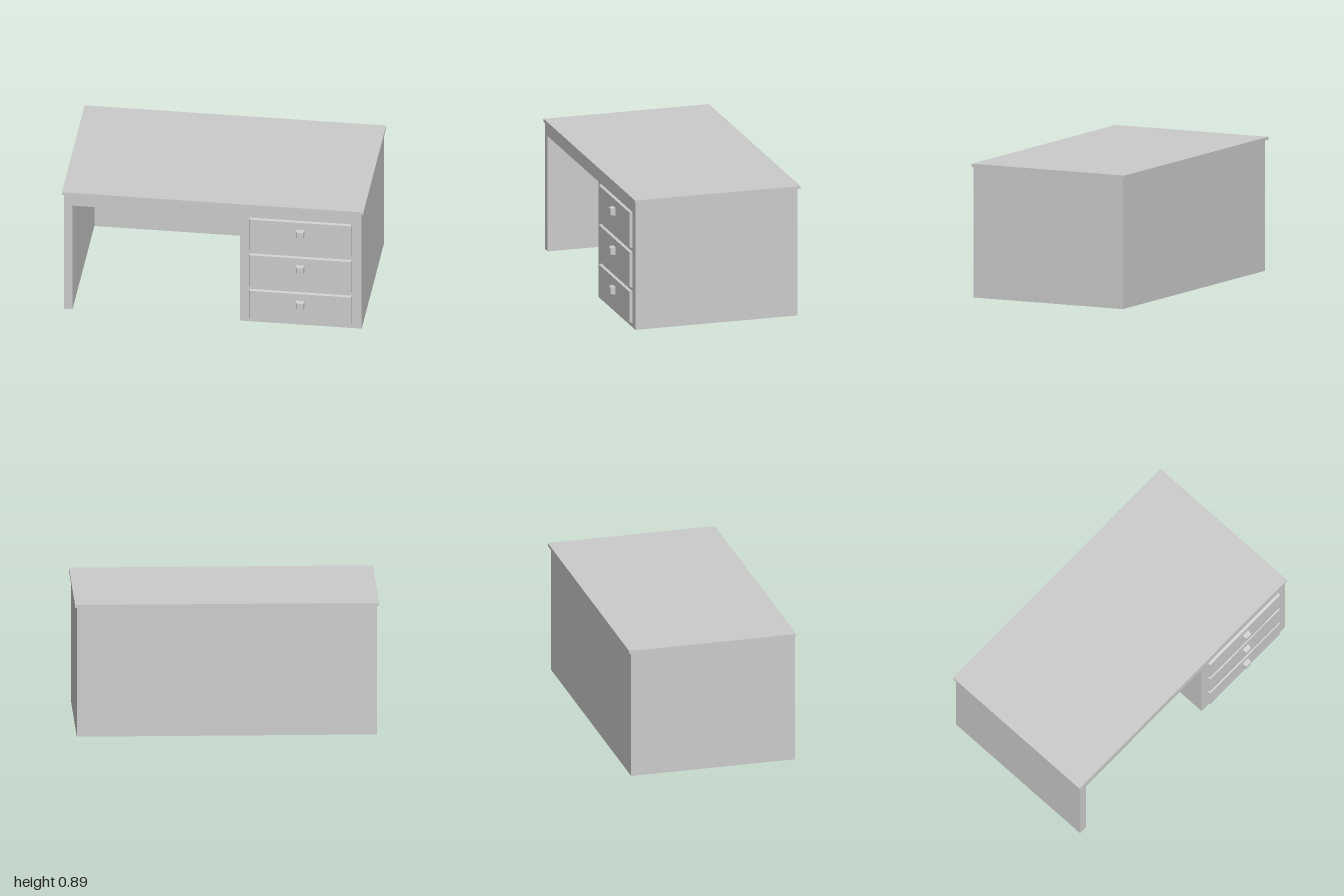
import * as THREE from 'three';

const material = new THREE.MeshStandardMaterial({ color: 0xcccccc, side: THREE.DoubleSide, flatShading: true });

const FRONT = 0.542, BACK = -0.575, SIDE = 0.988, BODY_TOP = 0.872;
const KNEE = { left: -0.93, right: 0.182, back: -0.55, top: 0.79 };
const DRAWER_X = 0.583, DRAWER_HALF = 0.34, DRAWER_FACE = 0.56;
const DRAWERS = [ // bottom, top, knob height
  { y0: 0.03, y1: 0.247, knobY: 0.164 },
  { y0: 0.272, y1: 0.518, knobY: 0.435 },
  { y0: 0.543, y1: 0.79, knobY: 0.705 },
];

function part(name, geometry) {
  const mesh = new THREE.Mesh(geometry, material);
  mesh.name = name;
  return mesh;
}

// Builds flat-shaded geometry from a list of quads, each four corners counterclockwise
function quadGeometry(quads) {
  const points = quads.flatMap(([a, b, c, d]) => [a, b, c, a, c, d]);
  const geometry = new THREE.BufferGeometry();
  geometry.setAttribute('position', new THREE.Float32BufferAttribute(points.flat(), 3));
  geometry.computeVertexNormals();
  return geometry;
}

// Upright sheet following a plan path of [x, z] points
function wall(path, height) {
  const quads = [];
  for (let i = 0; i < path.length - 1; i++) {
    const [x0, z0] = path[i], [x1, z1] = path[i + 1];
    quads.push([[x0, 0, z0], [x1, 0, z1], [x1, height, z1], [x0, height, z0]]);
  }
  return quadGeometry(quads);
}

// Skin through successive rectangles { x0, x1, y0, y1, z }
function rectLoft(rects) {
  const loops = rects.map(({ x0, x1, y0, y1, z }) => [[x0, y0, z], [x1, y0, z], [x1, y1, z], [x0, y1, z]]);
  const quads = [];
  for (let r = 0; r < loops.length - 1; r++) {
    for (let i = 0; i < 4; i++) {
      const j = (i + 1) % 4;
      quads.push([loops[r][i], loops[r][j], loops[r + 1][j], loops[r + 1][i]]);
    }
  }
  return quadGeometry(quads);
}

function rect(cx, cy, halfW, halfH, z) {
  return { x0: cx - halfW, x1: cx + halfW, y0: cy - halfH, y1: cy + halfH, z };
}

// Front frame: outline around the knee space, with an opening per drawer
function frontFrame() {
  const shape = new THREE.Shape([
    [-SIDE, 0], [KNEE.left, 0], [KNEE.left, KNEE.top], [KNEE.right, KNEE.top],
    [KNEE.right, 0], [SIDE, 0], [SIDE, BODY_TOP], [-SIDE, BODY_TOP],
  ].map(([x, y]) => new THREE.Vector2(x, y)));
  for (const { y0, y1 } of DRAWERS) {
    const a = DRAWER_X - DRAWER_HALF, b = DRAWER_X + DRAWER_HALF;
    shape.holes.push(new THREE.Path([
      new THREE.Vector2(a, y0), new THREE.Vector2(a, y1), new THREE.Vector2(b, y1), new THREE.Vector2(b, y0),
    ]));
  }
  return new THREE.ShapeGeometry(shape).translate(0, 0, FRONT);
}

// Hollow raised drawer front with a tapered square knob
function drawer({ y0, y1, knobY }) {
  const group = new THREE.Group();
  group.name = 'drawer';
  const cy = (y0 + y1) / 2, halfH = (y1 - y0) / 2, bevel = 0.005;
  const knobBase = rect(DRAWER_X, knobY, 0.028, 0.027, DRAWER_FACE);
  group.add(part('drawerFront', rectLoft([
    rect(DRAWER_X, cy, DRAWER_HALF, halfH, FRONT),
    rect(DRAWER_X, cy, DRAWER_HALF - bevel, halfH - bevel, DRAWER_FACE),
    knobBase,
  ])));
  const tip = rect(DRAWER_X, knobY, 0.022, 0.021, 0.592);
  group.add(part('knob', rectLoft([knobBase, tip, rect(DRAWER_X, knobY, 0, 0, 0.592)])));
  return group;
}

export function createModel() {
  const desk = new THREE.Group();
  desk.name = 'desk';

  // Desktop slab
  const slab = new THREE.BoxGeometry(2, 0.02, 1.14);
  desk.add(part('desktop', slab.translate(0, 0.88, -0.022)));

  // Thin outer shell, open underneath
  desk.add(part('outerPanels', wall([[-SIDE, FRONT], [-SIDE, BACK], [SIDE, BACK], [SIDE, FRONT]].reverse(), BODY_TOP)));
  desk.add(part('frontFrame', frontFrame()));

  // Knee space lining
  const { left, right, back, top } = KNEE;
  desk.add(part('kneePanels', wall([[left, FRONT], [left, back], [right, back], [right, FRONT]], top)));
  desk.add(part('kneeCeiling', quadGeometry([
    [[left, top, back], [right, top, back], [right, top, FRONT], [left, top, FRONT]],
  ])));

  for (const d of DRAWERS) desk.add(drawer(d));
  return desk;
}
